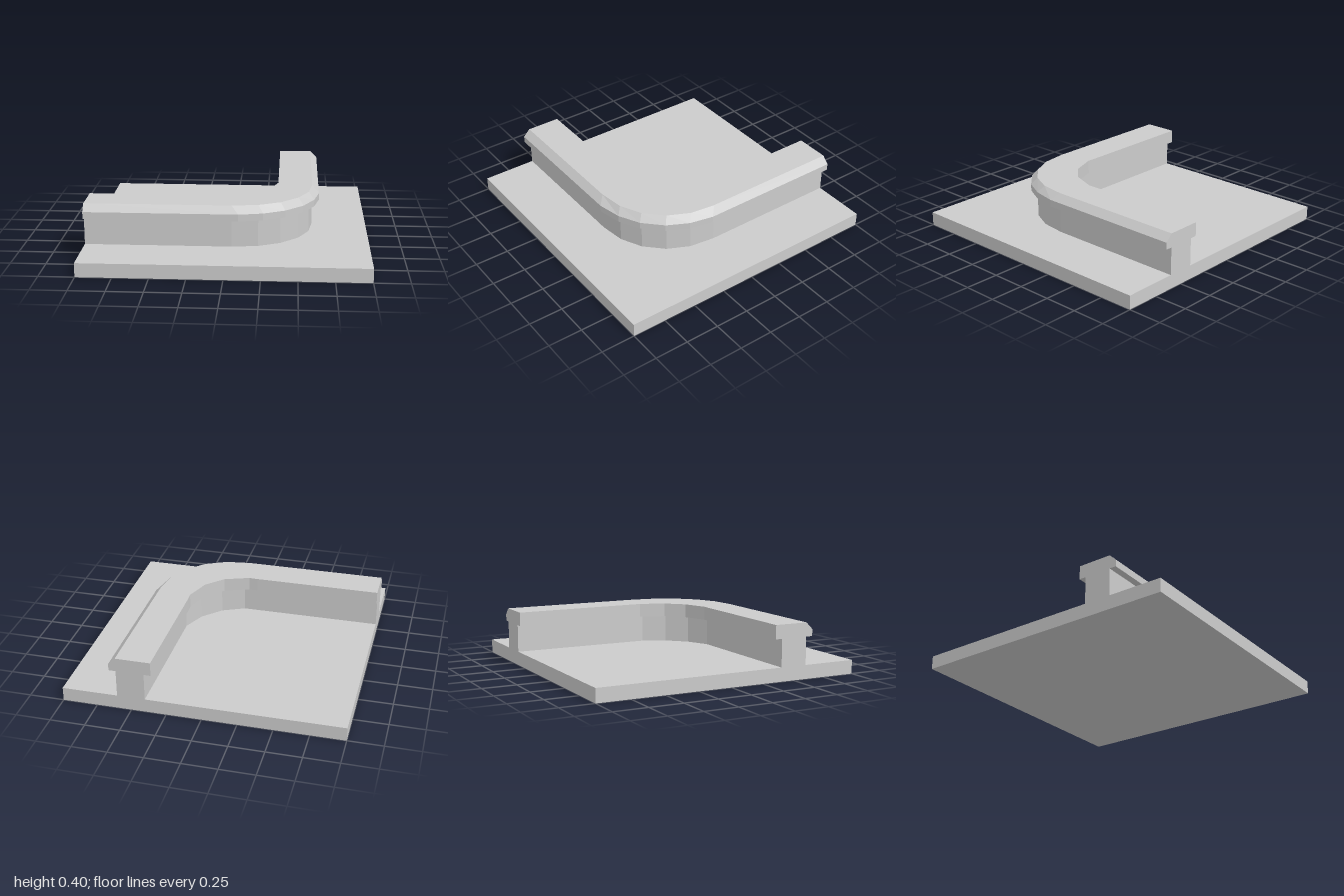
import * as THREE from 'three';

const material = new THREE.MeshStandardMaterial({ color: 0xcccccc, flatShading: true });

// Corner edge in plan: half of the bend, mirrored across the diagonal x = z.
function cornerEdge(half) {
  const all = half.concat(half.map(([x, z]) => [z, x]).reverse());
  return all.map(([x, z]) => new THREE.Vector2(x, z));
}

const webOuter = cornerEdge([[-1, 0.6], [0.035, 0.6], [0.22, 0.575], [0.375, 0.5]]);
const webInner = cornerEdge([[-1, 0.4], [0.03, 0.4], [0.195, 0.325]]);
const capOuter = cornerEdge([[-1, 0.65], [0.083, 0.65], [0.255, 0.613], [0.407, 0.535]]);
const capInner = cornerEdge([[-1, 0.35], [-0.08, 0.35], [-0.015, 0.353], [0.166, 0.287]]);

// Upright strip between two plan edges, from y0 to y1.
function strip(outer, inner, y0, y1, steps = 1) {
  const shape = new THREE.Shape([...outer, ...inner.slice().reverse()]);
  const geometry = new THREE.ExtrudeGeometry(shape, { depth: y1 - y0, steps, bevelEnabled: false });
  geometry.rotateX(Math.PI / 2);
  geometry.translate(0, y1, 0);
  return geometry;
}

// Pull the top outer edge of the cap in to form the chamfer.
function chamferTop(geometry, from, to, top) {
  const p = geometry.attributes.position;
  for (let i = 0; i < p.count; i++) {
    if (Math.abs(p.getY(i) - top) > 1e-4) continue;
    const k = from.findIndex(v => Math.hypot(v.x - p.getX(i), v.y - p.getZ(i)) < 1e-4);
    if (k >= 0) p.setXYZ(i, to[k].x, top, to[k].y);
  }
  geometry.computeVertexNormals();
  return geometry;
}

export function createModel() {
  const group = new THREE.Group();
  const add = (name, geometry) => {
    const mesh = new THREE.Mesh(geometry, material);
    mesh.name = name;
    group.add(mesh);
  };

  // Square floor slab
  add('base', new THREE.BoxGeometry(2, 0.1, 2).translate(0, 0.05, 0));
  // Curved wall
  add('wall', strip(webOuter, webInner, 0.1, 0.3));
  // Overhanging coping with a chamfered outer edge
  add('coping', chamferTop(strip(capOuter, capInner, 0.3, 0.4, 2), capOuter, webOuter, 0.4));

  return group;
}
